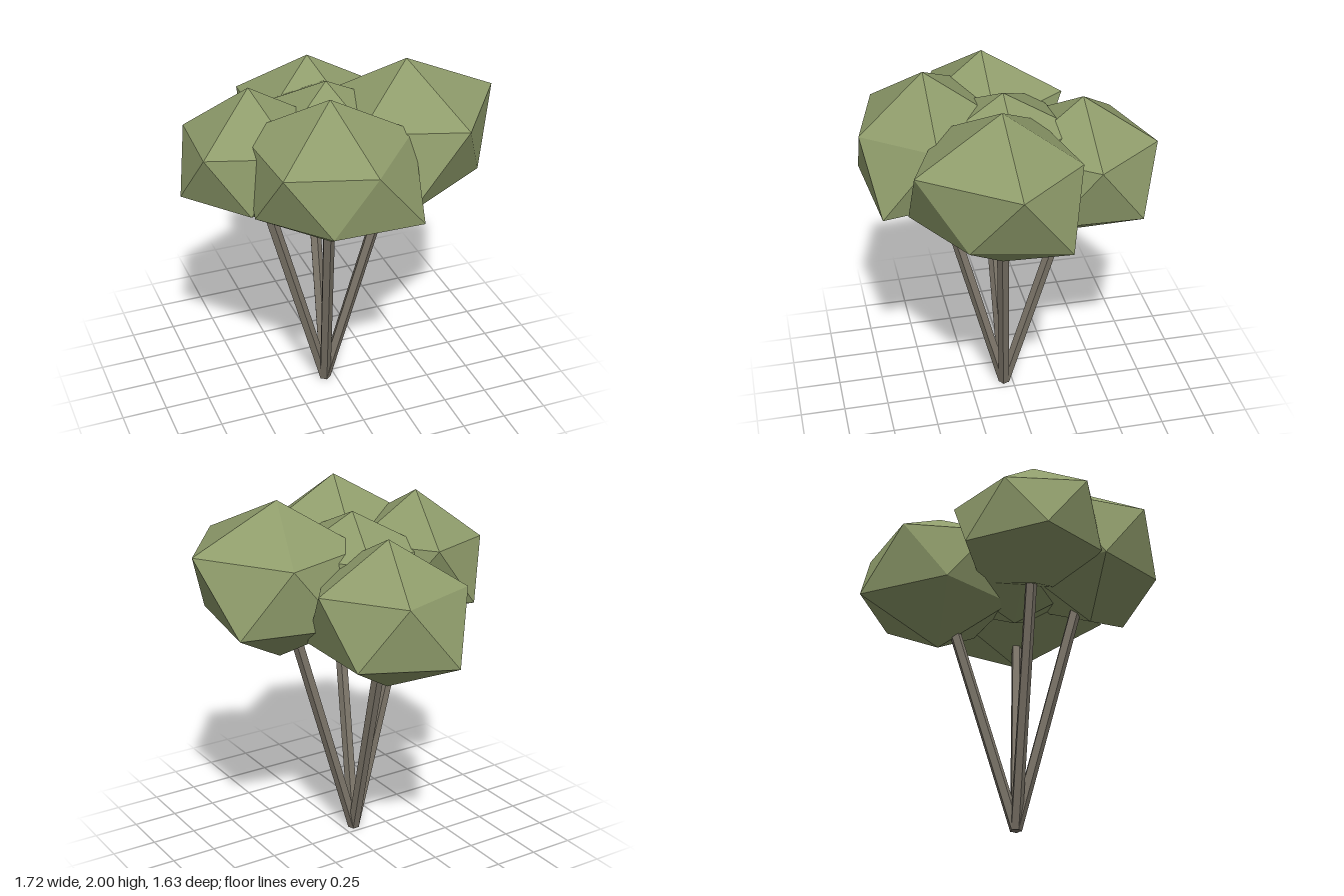
import * as THREE from 'three';

const foliage = new THREE.MeshStandardMaterial({ color: 0x8f9c6b, flatShading: true });
foliage.name = 'foliage green';
const bark = new THREE.MeshStandardMaterial({ color: 0x7d766a, flatShading: true });
bark.name = 'bark grey';

const SQUASH = 0.4; // ring height relative to ring radius

// Squashed, uneven icosahedron: two poles and two staggered rings of five points
function clumpGeometry(top, bottom, upper, lower) {
  const ring = (radii, start, side) => radii.map((r, i) => {
    const a = start + (i * Math.PI * 2) / 5;
    return [r * Math.cos(a), side * r * SQUASH, r * Math.sin(a)];
  });
  const U = ring(upper, 0, 1);
  const L = ring(lower, Math.PI / 5, -1);
  const T = [0, top, 0], B = [0, -bottom, 0];
  const pos = [];
  for (let i = 0; i < 5; i++) {
    const j = (i + 1) % 5;
    pos.push(T, U[j], U[i], U[i], U[j], L[i], U[j], L[j], L[i], L[i], L[j], B);
  }
  const g = new THREE.BufferGeometry();
  g.setAttribute('position', new THREE.Float32BufferAttribute(pos.flat(), 3));
  g.computeVertexNormals();
  return g;
}

// Upper radii at 0, 72, 144, 216, 288 degrees from +x towards +z; lower radii 36 degrees further on
const clumps = [
  { name: 'leftClump', c: [0.36, 1.57, 0.14], top: 0.43, bottom: 0.44, trunk: true,
    upper: [0.5, 0.495, 0.45, 0.45, 0.41], lower: [0.4, 0.49, 0.45, 0.45, 0.478] },
  { name: 'frontClump', c: [-0.18, 1.57, 0.45], top: 0.43, bottom: 0.38, trunk: true,
    upper: [0.45, 0.38, 0.41, 0.47, 0.42], lower: [0.494, 0.37, 0.4, 0.42, 0.42] },
  { name: 'rightClump', c: [-0.48, 1.55, 0.08], top: 0.4, bottom: 0.31, trunk: true,
    upper: [0.4, 0.4, 0.385, 0.36, 0.44], lower: [0.4, 0.36, 0.38, 0.41, 0.4] },
  { name: 'backClump', c: [0, 1.455, -0.37], top: 0.405, bottom: 0.405, trunk: true,
    upper: [0.42, 0.42, 0.42, 0.41, 0.4], lower: [0.42, 0.4, 0.36, 0.47, 0.43] },
  { name: 'middleClump', c: [-0.05, 1.55, 0.05], top: 0.35, bottom: 0.34, trunk: false,
    upper: [0.4, 0.4, 0.4, 0.4, 0.4], lower: [0.38, 0.38, 0.38, 0.4, 0.38] },
];

// Thin five-sided stem between two points
function stem(from, to) {
  const dir = to.clone().sub(from);
  const m = new THREE.Mesh(new THREE.CylinderGeometry(0.033, 0.033, dir.length(), 5), bark);
  m.position.copy(from).addScaledVector(dir, 0.5);
  m.quaternion.setFromUnitVectors(new THREE.Vector3(0, 1, 0), dir.normalize());
  return m;
}

export function createModel() {
  const tree = new THREE.Group();
  tree.name = 'tree';
  const root = new THREE.Vector3(-0.06, 0.01, 0.05);
  for (const k of clumps) {
    const leaves = new THREE.Mesh(clumpGeometry(k.top, k.bottom, k.upper, k.lower), foliage);
    leaves.name = k.name;
    leaves.position.set(...k.c);
    tree.add(leaves);
    // Each outer clump is carried by its own leaning trunk
    if (k.trunk) {
      const trunk = stem(root, new THREE.Vector3(...k.c));
      trunk.name = k.name.replace('Clump', 'Trunk');
      tree.add(trunk);
    }
  }
  return tree;
}
